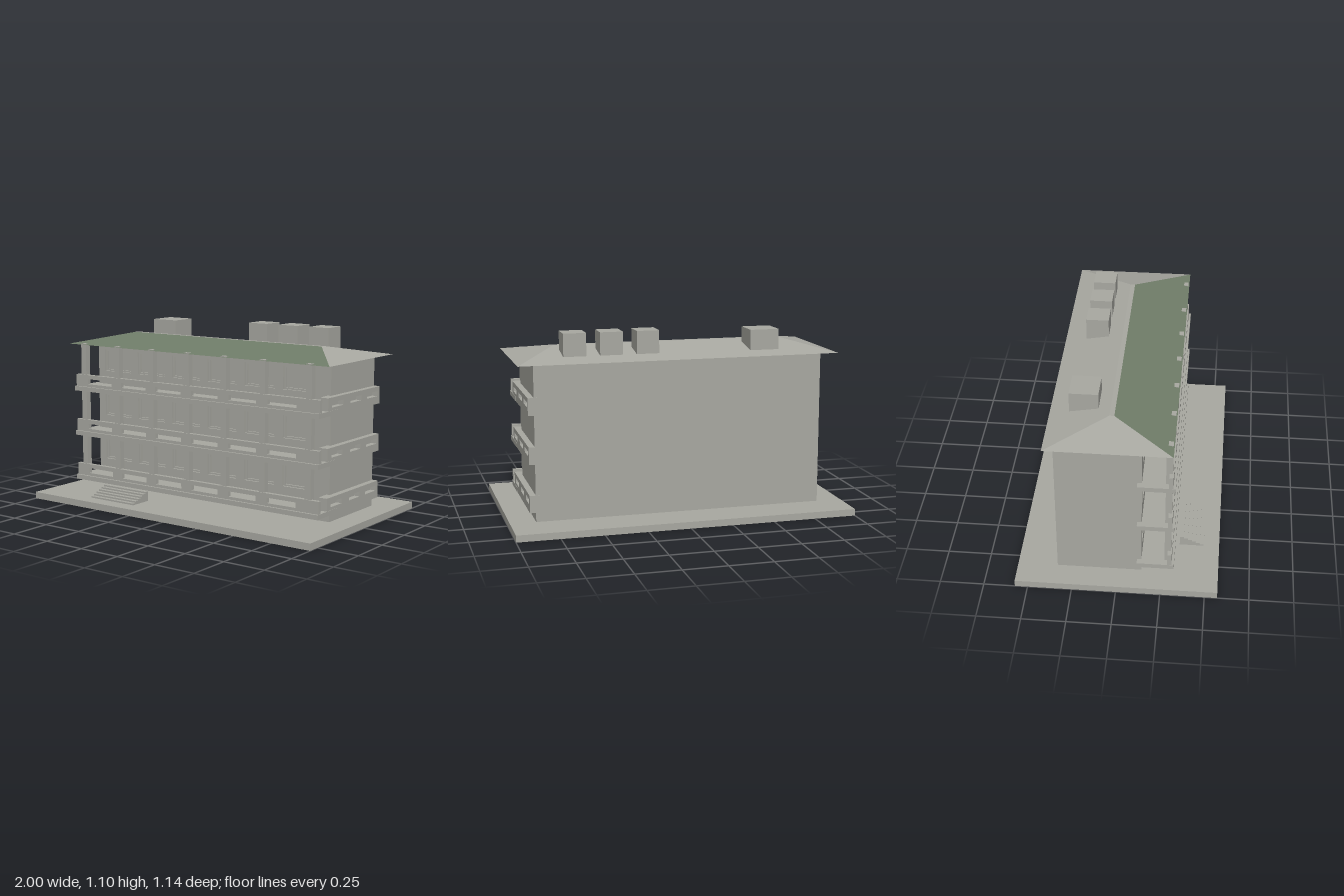
import * as THREE from 'three';

const concrete = new THREE.MeshStandardMaterial({ color: 0xa9a9a2 });
concrete.name = 'concrete grey';
const roofGreen = new THREE.MeshStandardMaterial({ color: 0x707d69 });
roofGreen.name = 'roof green';

// Box given by its limits on each axis
function box(name, x0, x1, y0, y1, z0, z1) {
  const mesh = new THREE.Mesh(new THREE.BoxGeometry(x1 - x0, y1 - y0, z1 - z0), concrete);
  mesh.position.set((x0 + x1) / 2, (y0 + y1) / 2, (z0 + z1) / 2);
  mesh.name = name;
  return mesh;
}

function rectangle(Type, x0, x1, y0, y1) {
  return new Type([[x0, y0], [x1, y0], [x1, y1], [x0, y1]].map(([x, y]) => new THREE.Vector2(x, y)));
}

// Upright panel in the xy plane with rectangular openings
function panel(name, outline, openings, depth) {
  const shape = rectangle(THREE.Shape, ...outline);
  shape.holes = openings.map((o) => rectangle(THREE.Path, ...o));
  const mesh = new THREE.Mesh(new THREE.ExtrudeGeometry(shape, { depth, bevelEnabled: false }), concrete);
  mesh.name = name;
  return mesh;
}

// Flat polygon with corners in counter-clockwise order
function face(name, corners, material) {
  const geometry = new THREE.BufferGeometry();
  geometry.setAttribute('position', new THREE.Float32BufferAttribute(corners.flat(), 3));
  geometry.setIndex([0, 1, 2, 0, 2, 3]);
  geometry.computeVertexNormals();
  const mesh = new THREE.Mesh(geometry, material);
  mesh.name = name;
  return mesh;
}

function buildRoof() {
  const roof = new THREE.Group();
  roof.name = 'roof';
  const e = 0.942, r = 0.685, low = 0.942, top = 1.003;
  const zf = 0.307, zb = -0.392, rf = -0.028, rb = -0.055;
  roof.add(
    face('frontSlope', [[-e, low, zf], [e, low, zf], [r, top, rf], [-r, top, rf]], roofGreen),
    face('backSlope', [[e, low, zb], [-e, low, zb], [-r, top, rb], [r, top, rb]], concrete),
    face('ridge', [[-r, top, rf], [r, top, rf], [r, top, rb], [-r, top, rb]], concrete),
    face('leftHip', [[e, low, zf], [e, low, zb], [r, top, rb], [r, top, rf]], concrete),
    face('rightHip', [[-e, low, zb], [-e, low, zf], [-r, top, rf], [-r, top, rb]], concrete),
    face('eavesUnderside', [[-e, low, zb], [e, low, zb], [e, low, zf], [-e, low, zf]], concrete),
  );
  return roof;
}

export function createModel() {
  const model = new THREE.Group();
  model.name = 'apartmentBlock';
  const floors = [0.095, 0.375, 0.655];
  const bays = [0, 1, 2, 3, 4, 5].map((i) => -0.695 + 0.267 * i);

  model.add(box('groundSlab', -1, 1, 0, 0.04, -0.572, 0.572));
  model.add(box('building', -0.85, 0.85, 0.04, 0.942, -0.345, 0.11));

  // Front wall with recessed, framed windows
  const windows = floors.flatMap((y) => bays.map((x) => [x - 0.105, x + 0.105, y + 0.11, y + 0.245]));
  const wall = panel('frontWall', [-0.85, 0.85, 0.04, 0.942], windows, 0.025);
  wall.position.z = 0.11;
  model.add(wall);
  for (const [x0, x1, y0, y1] of windows) {
    const frame = panel('windowFrame', [x0, x1, y0, y1], [[x0 + 0.01, x1 - 0.01, y0 + 0.01, y1 - 0.01]], 0.012);
    frame.position.z = 0.11;
    model.add(frame);
  }

  for (const y of floors) {
    // Balcony floor and slotted front parapet
    model.add(box('balconyFloor', -0.887, 0.887, y, y + 0.028, 0.11, 0.32));
    const slots = bays.map((x) => [x - 0.096, x + 0.096, y + 0.045, y + 0.076]);
    const parapet = panel('frontParapet', [-0.885, 0.885, y + 0.028, y + 0.101], slots, 0.024);
    parapet.position.z = 0.283;
    model.add(parapet);

    // Slotted parapet along the left side only
    const sideSlots = [-0.12, 0.08, 0.265].map((z) => [z - 0.06, z + 0.06, y + 0.045, y + 0.074]);
    const side = panel('sideParapet', [-0.22, 0.35, y, y + 0.101], sideSlots, 0.055);
    side.rotation.y = Math.PI / 2;
    side.position.x = 0.83;
    model.add(side);
  }

  // Balcony columns, just reaching through the roof edge
  for (const x of [-0.828, -0.56, -0.295, -0.029, 0.238, 0.505, 0.81]) {
    model.add(box('column', x - 0.019, x + 0.019, 0.12, 0.948, 0.265, 0.301));
  }

  // Entrance stairs
  for (let i = 0; i < 6; i++) {
    model.add(box('stairStep', -0.62, -0.29, 0.04 + i * 0.0097, 0.0497 + i * 0.0097, 0.342, 0.482 - i * 0.0235));
  }

  model.add(buildRoof());

  // Rooftop blocks
  for (const x of [0.174, 0.387, 0.599]) {
    model.add(box('chimney', x - 0.066, x + 0.066, 0.95, 1.097, -0.268, -0.136));
  }
  model.add(box('roofHatch', -0.61, -0.437, 0.95, 1.081, -0.283, -0.121));

  return model;
}
